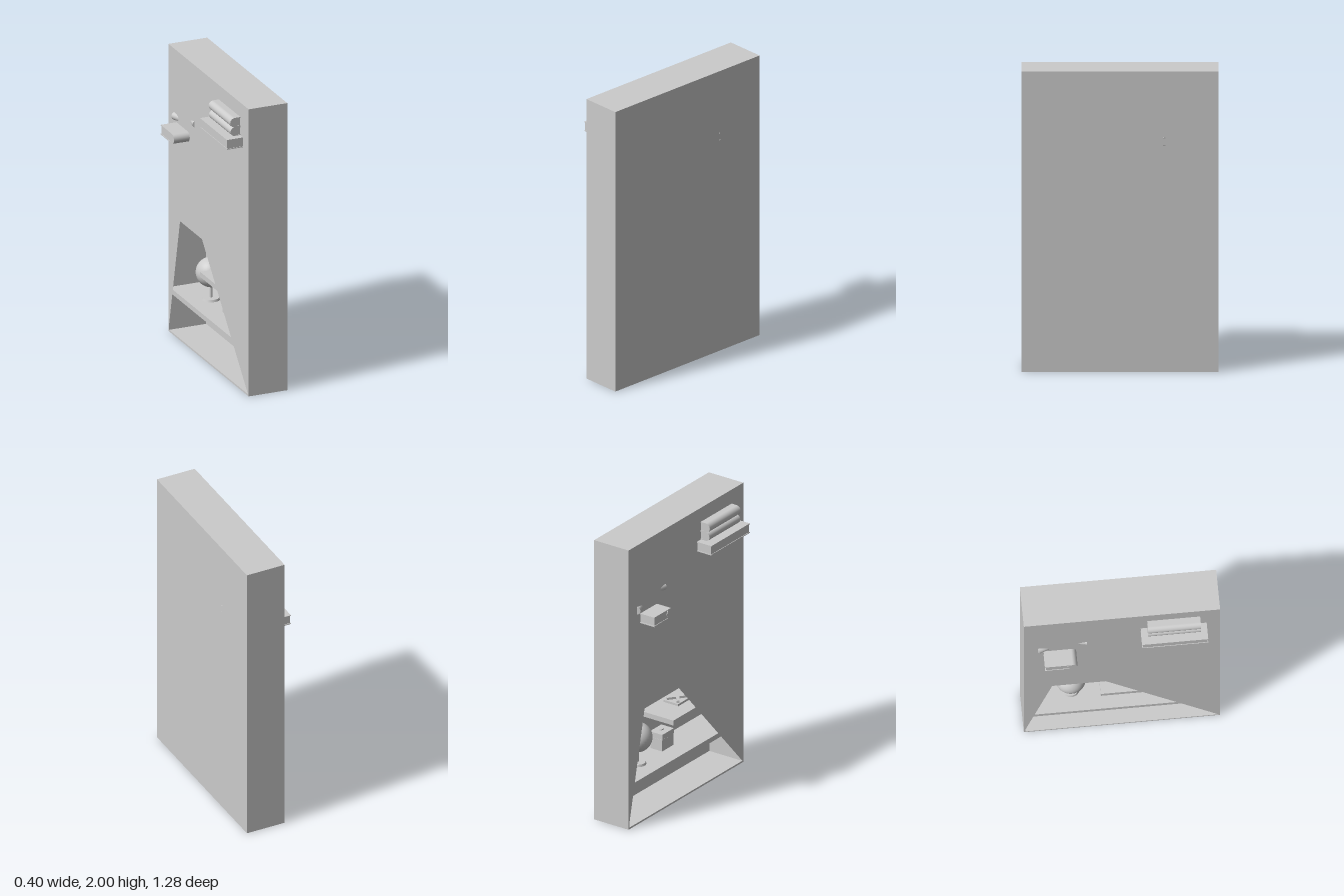
import * as THREE from 'three';

const mat = new THREE.MeshStandardMaterial({ color: 0xcccccc });
const thin = new THREE.MeshStandardMaterial({ color: 0xcccccc, side: THREE.DoubleSide });

function add(parent, name, geo, x = 0, y = 0, z = 0, material = mat) {
  const m = new THREE.Mesh(geo, material);
  m.name = name;
  m.position.set(x, y, z);
  parent.add(m);
  return m;
}

// Box given by its limits on each axis
function block(parent, name, x0, x1, y0, y1, z0, z1) {
  return add(parent, name, new THREE.BoxGeometry(x1 - x0, y1 - y0, z1 - z0),
    (x0 + x1) / 2, (y0 + y1) / 2, (z0 + z1) / 2);
}

// Lying book: length along z, spine on -x, base at y; turn rotates it about y
function book(parent, name, x, y, z, depth, height, length, turn = 0, roundSpine = true) {
  const g = new THREE.Group();
  g.name = name;
  const t = 0.006, r = height / 2, e = depth / 2, l = length / 2;
  const start = roundSpine ? -e + r : -e;
  block(g, 'lowerCover', start, e, 0, t, -l, l);
  block(g, 'upperCover', start, e, height - t, height, -l, l);
  block(g, 'pages', start + 0.004, e - 0.006, t, height - t, -l + 0.004, l - 0.004);
  if (roundSpine) {
    const spine = new THREE.CylinderGeometry(r, r, length, 24).rotateX(Math.PI / 2);
    add(g, 'spine', spine, start, r, 0);
  } else {
    block(g, 'spine', e - t, e, 0, height, -l, l);
  }
  g.position.set(x, y, z);
  g.rotation.y = turn;
  parent.add(g);
}

export function createModel() {
  const root = new THREE.Group();
  root.name = 'bookcase';
  const X0 = -0.085, X1 = 0.19, Z = 0.64, T = 0.012;

  // Case
  block(root, 'backWall', X1 - T, X1, 0, 2, -Z, Z);
  block(root, 'floor', X0, X1 - T, 0, T, -Z, Z);
  block(root, 'roof', X0, X1 - T, 2 - T, 2, -Z, Z);
  for (const s of [-1, 1]) {
    block(root, 'sideWall', X0, X1 - T, T, 2 - T, s * (Z - T / 2) - T / 2, s * (Z - T / 2) + T / 2);
  }

  // Face panel with a trapezoid opening at the bottom
  const face = new THREE.Shape([[-Z, 0], [-0.455, 0.83], [-0.105, 0.83], [Z, 0], [Z, 2], [-Z, 2]]
    .map(([z, y]) => new THREE.Vector2(z, y)));
  add(root, 'facePanel', new THREE.ShapeGeometry(face).rotateY(-Math.PI / 2), X0, 0, 0, thin);

  // Shelves: top height, start and end along z
  for (const [y, z0, z1] of [[0.31, -Z, Z], [0.59, -0.15, Z], [1.43, -Z, 0], [1.7, 0, Z]]) {
    block(root, 'shelf', X0 + 0.002, X1 - T, y - 0.035, y, z0 + T, z1 - T);
  }

  // Upper stack of books
  book(root, 'largeBook', -0.04, 1.705, 0.337, 0.32, 0.068, 0.43, 0, false);
  book(root, 'mediumBook', -0.03, 1.775, 0.337, 0.25, 0.06, 0.345);
  book(root, 'topBook', -0.03, 1.835, 0.337, 0.255, 0.065, 0.345);

  // Lower stack, turned at various angles
  book(root, 'bottomBook', -0.03, 1.432, -0.405, 0.212, 0.068, 0.335, Math.PI / 2);
  book(root, 'turnedBook', 0.0435, 1.506, -0.41, 0.198, 0.054, 0.347, 0.343);
  book(root, 'smallBook', 0.033, 1.56, -0.367, 0.2, 0.05, 0.32, -0.2);

  // Globe on a stand
  const globe = new THREE.Group();
  globe.name = 'globe';
  add(globe, 'base', new THREE.CylinderGeometry(0.055, 0.06, 0.015, 32), 0, 0.008, 0);
  add(globe, 'stem', new THREE.CylinderGeometry(0.01, 0.01, 0.1, 16), 0, 0.06, 0);
  add(globe, 'ball', new THREE.SphereGeometry(0.1, 32, 24), 0, 0.19, 0);
  globe.position.set(0.075, 0.31, -0.32);
  root.add(globe);

  // Lidded box beside the globe
  block(root, 'boxBody', 0.05, 0.144, 0.31, 0.39, -0.077, 0.047);
  block(root, 'boxLid', 0.047, 0.147, 0.393, 0.43, -0.08, 0.05);
  block(root, 'lidKnob', 0.09, 0.104, 0.43, 0.437, -0.03, 0);

  // Flat tray with crossed bars on the upper shelf
  block(root, 'tray', 0.02, 0.136, 0.59, 0.605, 0.06, 0.21);
  for (const s of [-1, 1]) {
    const bar = add(root, 'crossBar', new THREE.BoxGeometry(0.02, 0.015, 0.15), 0.078, 0.613, 0.135);
    bar.rotation.y = s * 0.65;
  }
  return root;
}
